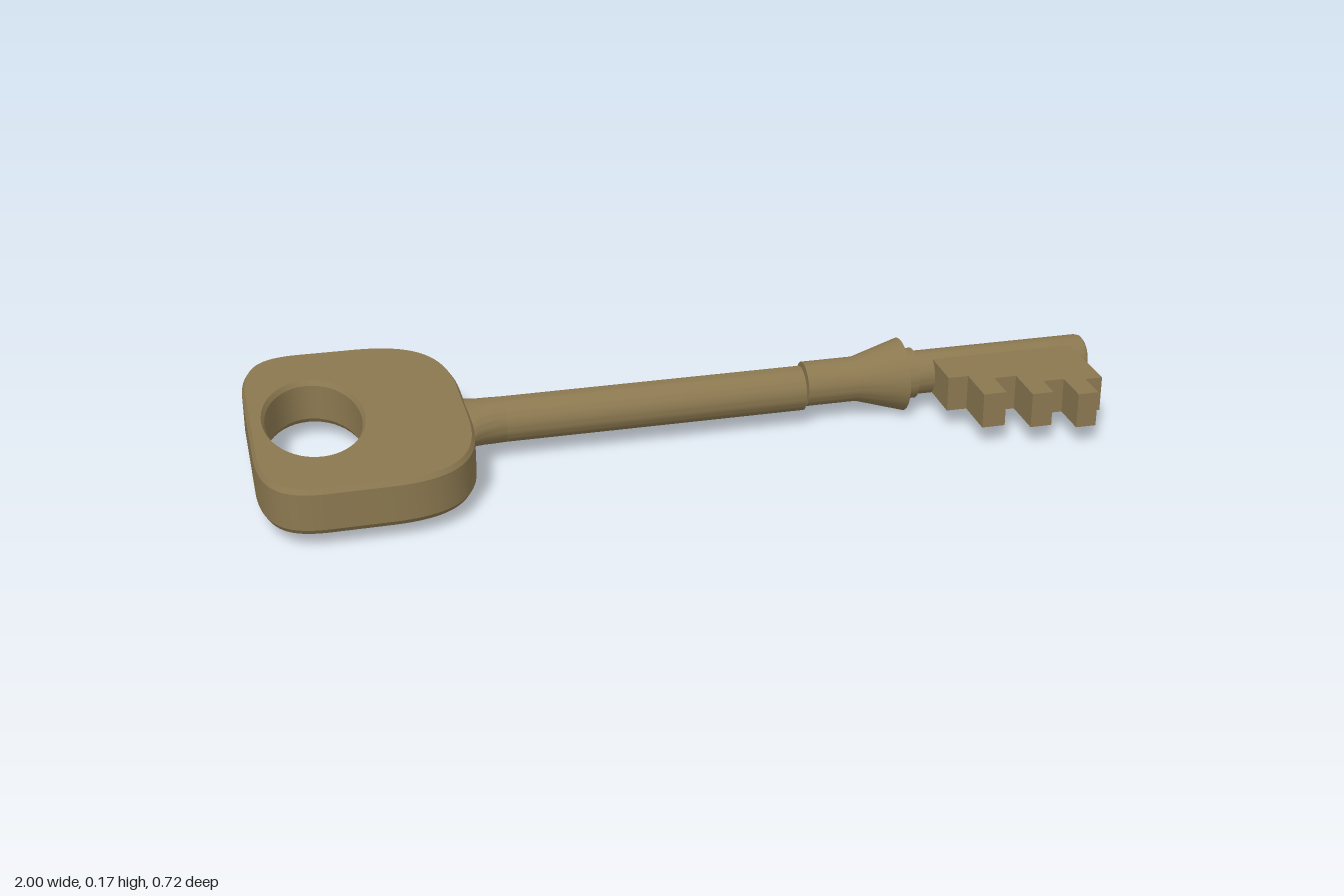
import * as THREE from 'three';
import { toCreasedNormals } from 'three/addons/utils/BufferGeometryUtils.js';

const AXIS_Y = 0.088;   // height of the shaft axis
const TIP_Z = -0.02;    // the bit end sits slightly behind the main shaft

export function createModel() {
  const key = new THREE.Group();
  key.name = 'key';
  const brass = new THREE.MeshStandardMaterial({ color: 0x8b7850 });
  brass.name = 'aged brass';

  function add(name, geometry, crease = 0.5) {
    const mesh = new THREE.Mesh(toCreasedNormals(geometry, crease), brass);
    mesh.name = name;
    key.add(mesh);
    return mesh;
  }

  // Turned part along x from [x, radius] pairs
  function turned(profile, z = 0) {
    const points = profile.map(([x, r]) => new THREE.Vector2(r, x));
    return new THREE.LatheGeometry(points, 48).rotateZ(-Math.PI / 2).translate(0, AXIS_Y, z);
  }

  // Flat plate from an x/z outline, between two heights
  function plate(shape, bottom, top, bevel, bevelHeight) {
    return new THREE.ExtrudeGeometry(shape, {
      depth: top - bottom - 2 * bevelHeight, curveSegments: 24,
      bevelEnabled: bevel > 0, bevelSize: bevel, bevelOffset: -bevel,
      bevelThickness: bevelHeight, bevelSegments: 1,
    }).rotateX(Math.PI / 2).translate(0, top - bevelHeight, 0);
  }

  // Bow: rounded handle with an oval hole
  const bow = new THREE.Shape();
  bow.moveTo(-0.51, -0.1);
  bow.lineTo(-0.51, 0.1);
  bow.bezierCurveTo(-0.515, 0.28, -0.58, 0.355, -0.72, 0.359);
  bow.lineTo(-0.86, 0.361);
  bow.bezierCurveTo(-0.95, 0.36, -0.995, 0.32, -1, 0.17);
  bow.lineTo(-1, -0.17);
  bow.bezierCurveTo(-0.995, -0.32, -0.95, -0.36, -0.86, -0.361);
  bow.lineTo(-0.72, -0.359);
  bow.bezierCurveTo(-0.58, -0.355, -0.515, -0.28, -0.51, -0.1);
  const hole = new THREE.Path();
  hole.absellipse(-0.854, 0, 0.108, 0.196, 0, Math.PI * 2, true);
  bow.holes.push(hole);
  add('bow', plate(bow, 0.036, 0.142, 0.007, 0.011));

  // Neck: spreads sideways into the bow, slightly thinner in height
  const neck = turned([[-0.525, 0.09], [-0.508, 0.087], [-0.495, 0.077],
    [-0.475, 0.065], [-0.455, 0.057], [-0.425, 0.0525]]);
  const pos = neck.attributes.position;
  for (let i = 0; i < pos.count; i++) {
    const y = pos.getY(i) - AXIS_Y;
    const r = Math.hypot(y, pos.getZ(i));
    const t = THREE.MathUtils.clamp((pos.getX(i) + 0.51) / 0.05, 0, 1);
    pos.setY(i, AXIS_Y + (y / r) * THREE.MathUtils.lerp(0.046, 0.0525, t));
  }
  add('neck', neck, 0.8);

  // Main shaft
  add('shaft', turned([[-0.425, 0], [-0.425, 0.0525], [0.284, 0.0525], [0.284, 0]]));

  // Front stem with flared collar, small ring and chamfered tip
  add('collarAndStem', turned([[0.295, 0], [0.295, 0.053], [0.42, 0.053],
    [0.535, 0.087], [0.535, 0.06], [0.566, 0.06], [0.566, 0.052],
    [0.985, 0.052], [0.995, 0.049], [1, 0.042], [1, 0]], TIP_Z));

  // Bit: stepped teeth as [end x, depth in z]
  const steps = [[0.655, 0.12], [0.71, 0.226], [0.764, 0.146], [0.815, 0.251],
    [0.866, 0.189], [0.914, 0.277], [0.956, 0.202]];
  const bit = new THREE.Shape();
  let x = 0.607;
  bit.moveTo(x, TIP_Z);
  for (const [end, depth] of steps) {
    bit.lineTo(x, depth);
    bit.lineTo(end, depth);
    x = end;
  }
  bit.lineTo(x, TIP_Z);
  add('bit', plate(bit, 0.047, 0.131, 0, 0));

  return key;
}
